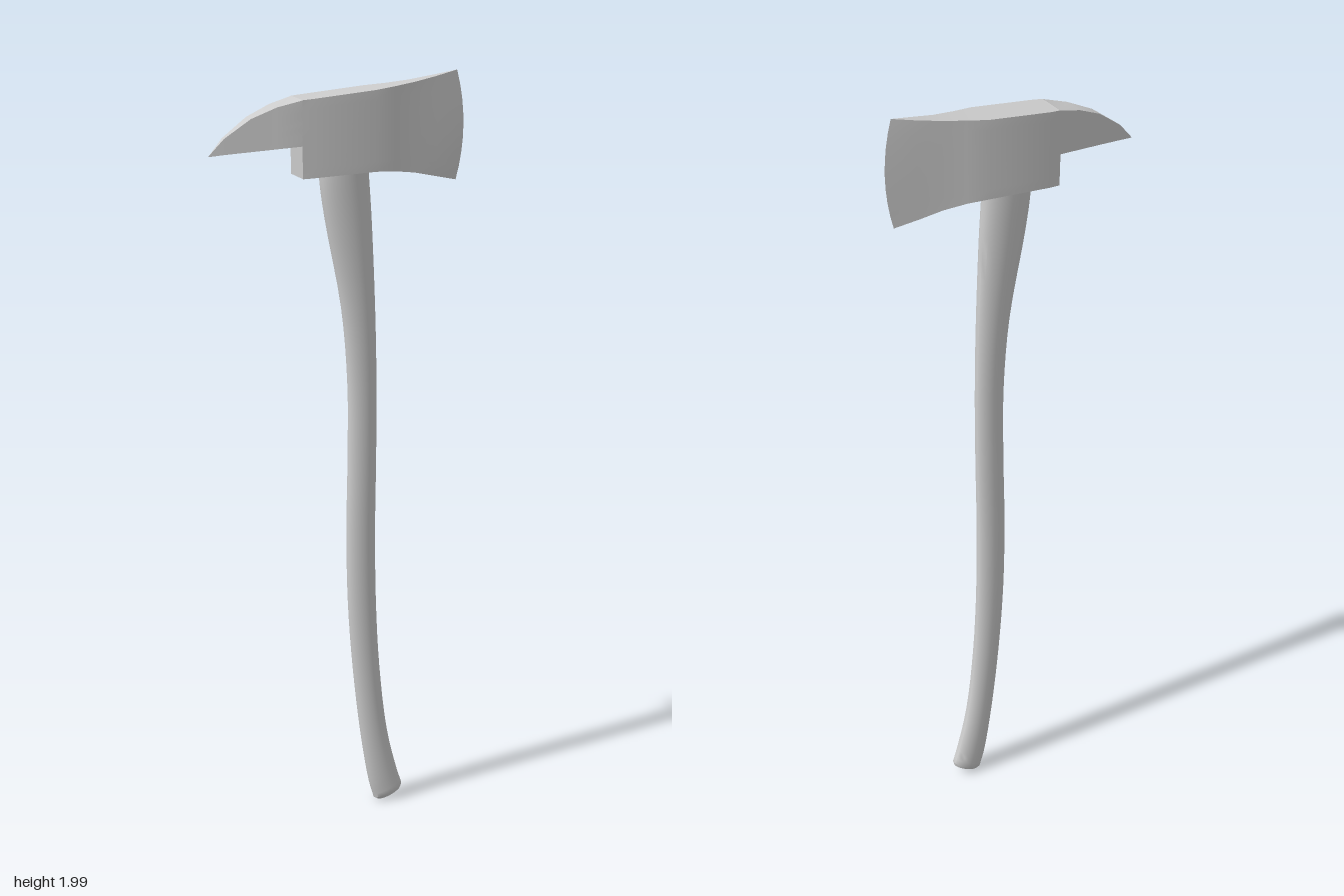
import * as THREE from 'three';
import { toCreasedNormals } from 'three/addons/utils/BufferGeometryUtils.js';

// Skin a list of closed rings (each counter-clockwise about the travel direction)
function loft(rings, crease) {
  const out = [];
  const tri = (a, b, c) => {
    const area = b.clone().sub(a).cross(c.clone().sub(a)).length();
    if (area > 1e-8) out.push(...a.toArray(), ...b.toArray(), ...c.toArray());
  };
  for (let s = 0; s < rings.length - 1; s++) {
    const a = rings[s], b = rings[s + 1], n = a.length;
    for (let i = 0; i < n; i++) {
      const j = (i + 1) % n;
      tri(a[i], a[j], b[i]);
      tri(a[j], b[j], b[i]);
    }
  }
  const geo = new THREE.BufferGeometry();
  geo.setAttribute('position', new THREE.Float32BufferAttribute(out, 3));
  return toCreasedNormals(geo, crease);
}

// Head: stations of x, top y, bottom y, half thickness, edge bulge
function headGeometry() {
  const stations = [
    [-0.345, 1.818, 1.816, 0, 0],
    [-0.307, 1.86, 1.82, 0.008, 0],
    [-0.24, 1.907, 1.825, 0.019, 0],
    [-0.175, 1.934, 1.83, 0.031, 0],
    [-0.114, 1.949, 1.835, 0.043, 0],
    [-0.112, 1.95, 1.753, 0.043, 0],
    [-0.085, 1.952, 1.754, 0.046, 0],
    [0.085, 1.966, 1.76, 0.046, 0],
    [0.14, 1.971, 1.756, 0.034, 0],
    [0.2, 1.978, 1.747, 0.022, 0],
    [0.26, 1.988, 1.733, 0.013, 0.006],
    [0.324, 2.0, 1.718, 0, 0.02],
  ];
  const rows = 8;
  const rings = stations.map(([x, top, bottom, half, bulge]) => {
    const side = (sign) => Array.from({ length: rows + 1 }, (_, i) => {
      const t = i / rows;
      return new THREE.Vector3(
        x + bulge * (1 - (2 * t - 1) ** 2), THREE.MathUtils.lerp(top, bottom, t), sign * half);
    });
    return [...side(1), ...side(-1).reverse()];
  });
  return loft(rings, 0.35);
}

// Handle: oval rings strung between a left and a right outline curve
function handleGeometry() {
  // outline x, y on one side, x, y on the other, half depth
  const sections = [
    [0.104, 0.012, 0.185, 0.046, 0.024],
    [0.09, 0.06, 0.168, 0.1, 0.025],
    [0.066, 0.2, 0.14, 0.215, 0.025],
    [0.042, 0.4, 0.117, 0.405, 0.025],
    [0.027, 0.6, 0.106, 0.6, 0.025],
    [0.023, 0.8, 0.103, 0.8, 0.025],
    [0.026, 1.0, 0.105, 1.0, 0.025],
    [0.025, 1.2, 0.105, 1.2, 0.025],
    [0.008, 1.4, 0.1, 1.4, 0.028],
    [-0.038, 1.64, 0.089, 1.64, 0.034],
    [-0.052, 1.74, 0.081, 1.75, 0.037],
    [-0.054, 1.8, 0.078, 1.8, 0.038],
  ];
  const curve = (k) => new THREE.CatmullRomCurve3(
    sections.map((s) => new THREE.Vector3(s[k], s[k + 1], s[4])));
  const lo = curve(0), hi = curve(2);
  const ring = (t, scale, drop) => {
    const a = lo.getPoint(t), b = hi.getPoint(t), depth = a.z;
    a.z = b.z = 0;
    const mid = a.clone().add(b).multiplyScalar(0.5);
    const half = b.sub(a).multiplyScalar(0.5 * scale);
    const axis = new THREE.Vector3(-half.y, half.x, 0).normalize();
    return Array.from({ length: 20 }, (_, i) => {
      const ang = (i / 20) * Math.PI * 2;
      const p = mid.clone().addScaledVector(half, Math.sin(ang)).addScaledVector(axis, -drop);
      p.z = depth * scale * Math.cos(ang);
      return p;
    });
  };
  const steps = 44;
  const rings = [ring(0, 0, 0.009), ring(0, 0.84, 0.009)]; // chamfered butt end
  for (let i = 0; i <= steps; i++) rings.push(ring(i / steps, 1, 0));
  rings.push(ring(1, 0, 0));
  return loft(rings, 0.6);
}

export function createModel() {
  const group = new THREE.Group();
  group.name = 'axe';
  const grey = new THREE.MeshStandardMaterial({ color: 0xcccccc });
  grey.name = 'plain grey';

  const head = new THREE.Mesh(headGeometry(), grey);
  head.name = 'axeHead';
  const handle = new THREE.Mesh(handleGeometry(), grey);
  handle.name = 'handle';

  group.add(head, handle);
  return group;
}
